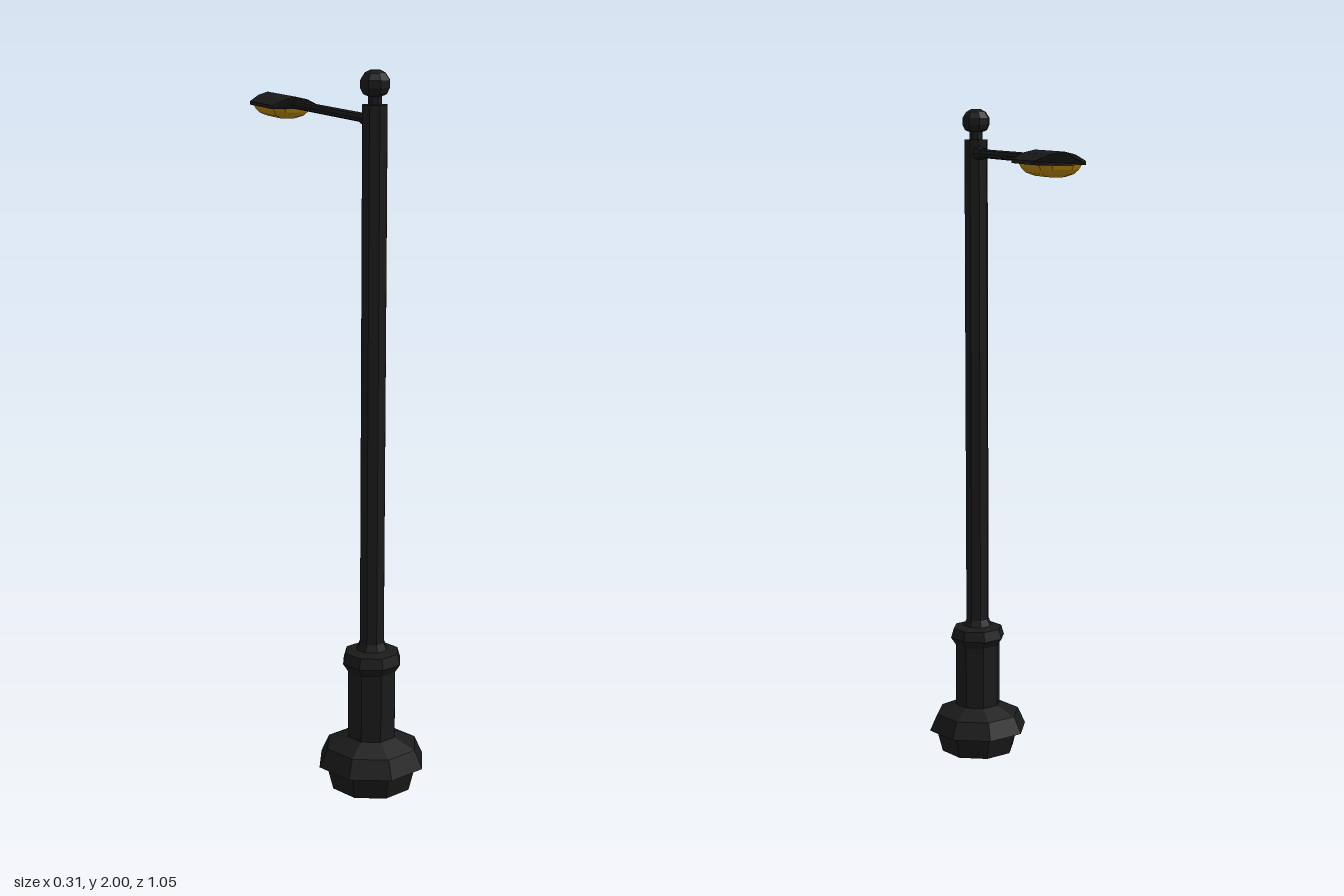
import * as THREE from 'three';

const POLE_Z = 0.37;
const ARM_Y = 1.87;
const iron = new THREE.MeshStandardMaterial({ color: 0x1a1a1a, flatShading: true });
const amber = new THREE.MeshStandardMaterial({ color: 0xb8860b, flatShading: true });

function add(parent, name, geometry, material = iron) {
  const mesh = new THREE.Mesh(geometry, material);
  mesh.name = name;
  parent.add(mesh);
  return mesh;
}

// Turned part with eight sides, profile given as [radius, height] from bottom to top
function turned(profile) {
  return new THREE.LatheGeometry(profile.map(([r, y]) => new THREE.Vector2(r, y)), 8);
}

// Closed skin over rings of equal length, listed from top to bottom
function loft(rings) {
  const n = rings[0].length;
  const index = [];
  for (let k = 0; k < rings.length - 1; k++) {
    for (let i = 0; i < n; i++) {
      const a = k * n + i, b = k * n + (i + 1) % n;
      index.push(a, a + n, b, b, a + n, b + n);
    }
  }
  const last = (rings.length - 1) * n;
  for (let i = 1; i < n - 1; i++) {
    index.push(0, i, i + 1, last, last + i + 1, last + i);
  }
  const geometry = new THREE.BufferGeometry();
  geometry.setAttribute('position', new THREE.Float32BufferAttribute(rings.flat(2), 3));
  geometry.setIndex(index);
  geometry.computeVertexNormals();
  return geometry;
}

// Lamp housing: arched section extruded along z, both ends drawn to a blunt point
function housingGeometry() {
  const section = new THREE.Shape([
    [-0.07, 1.858], [0.07, 1.858], [0.07, 1.868], [0.035, 1.885],
    [0, 1.893], [-0.035, 1.885], [-0.07, 1.868],
  ].map(([x, y]) => new THREE.Vector2(x, y)));
  // Extra points along the underside keep it flush with the pointed ends
  section.curves.splice(0, 1,
    ...[-0.07, -0.035, 0, 0.035].map((x) => new THREE.LineCurve(
      new THREE.Vector2(x, 1.858), new THREE.Vector2(x + 0.035, 1.858))));
  const geometry = new THREE.ExtrudeGeometry(section, { depth: 1, bevelEnabled: false, curveSegments: 1 });
  const p = geometry.attributes.position;
  for (let i = 0; i < p.count; i++) {
    const t = Math.abs(p.getX(i)) / 0.07;
    const front = -0.255 - 0.015 * t * t;
    const back = -0.525 + 0.04 * t ** 1.3;
    p.setZ(i, p.getZ(i) > 0.5 ? front : back);
  }
  geometry.computeVertexNormals();
  return geometry;
}

// Lens: a long eight-sided outline, shrinking downwards
function lensGeometry() {
  const ring = (w, l, y) => [
    [w, l * 0.8], [w * 0.5, l], [-w * 0.5, l], [-w, l * 0.8],
    [-w, -l * 0.8], [-w * 0.5, -l], [w * 0.5, -l], [w, -l * 0.8],
  ].map(([x, z]) => [x, y, -0.393 + z]).reverse();
  return loft([
    ring(0.058, 0.118, 1.859), ring(0.052, 0.113, 1.846),
    ring(0.042, 0.1, 1.834), ring(0.024, 0.076, 1.826),
  ]);
}

export function createModel() {
  const model = new THREE.Group();
  model.name = 'streetLamp';

  // Upright post
  const post = new THREE.Group();
  post.name = 'post';
  post.position.z = POLE_Z;
  model.add(post);
  add(post, 'base', turned([
    [0, 0], [0.115, 0], [0.132, 0.065], [0.156, 0.07], [0.132, 0.122], [0.071, 0.15], [0, 0.15],
  ]));
  add(post, 'pedestal', turned([[0.071, 0.148], [0.071, 0.352]]));
  add(post, 'collar', turned([
    [0.071, 0.345], [0.086, 0.368], [0.077, 0.398], [0.045, 0.405], [0.036, 0.425],
  ]));
  add(post, 'pole', turned([[0.036, 0.4], [0.036, 1.91], [0, 1.91]]));
  add(post, 'finial', turned([
    [0.02, 1.905], [0.02, 1.932], [0.034, 1.938], [0.042, 1.954],
    [0.042, 1.974], [0.03, 1.992], [0.014, 2], [0, 2],
  ]));

  // Arm reaching to the back, with its socket on the pole
  const arm = new THREE.Group();
  arm.name = 'arm';
  arm.position.set(0, ARM_Y, POLE_Z);
  arm.rotation.x = -Math.PI / 2;
  model.add(arm);
  add(arm, 'armSocket', turned([[0.02, 0.02], [0.02, 0.065], [0.015, 0.09], [0, 0.09]]));
  add(arm, 'armBar', turned([[0.013, 0.02], [0.013, 0.66], [0, 0.66]]));

  // Lamp head
  const head = new THREE.Group();
  head.name = 'lampHead';
  model.add(head);
  add(head, 'housing', housingGeometry());
  add(head, 'lens', lensGeometry(), amber);
  return model;
}
